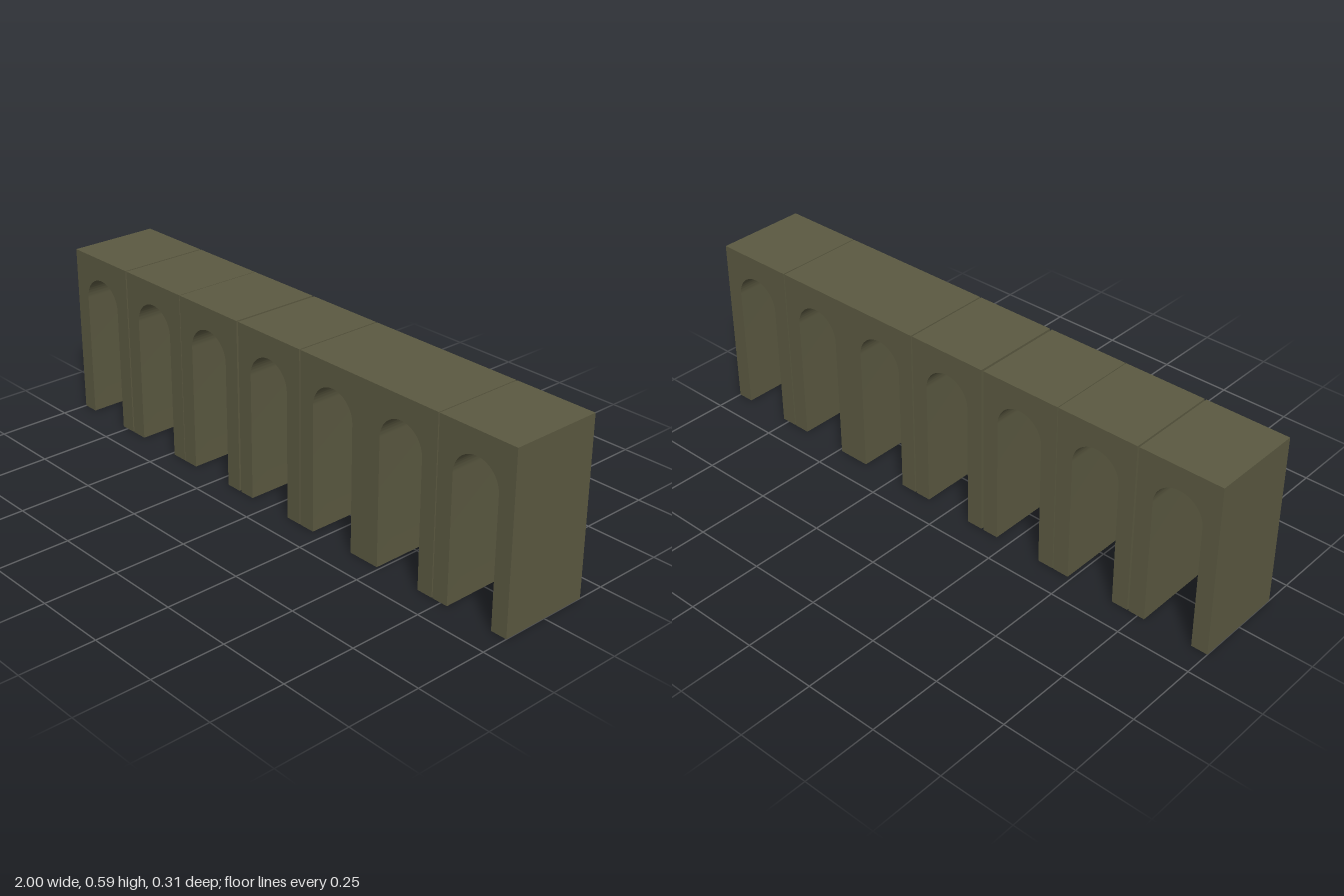
import * as THREE from 'three';
import { toCreasedNormals } from 'three/addons/utils/BufferGeometryUtils.js';

const HALF = 0.141;      // half width of one arch block
const HEIGHT = 0.591;
const DEPTH = 0.314;
const RADIUS = 0.0845;   // half width of the opening
const SPRING = 0.429;    // height where the round arch starts

// Block outline with an open, round-headed passage
function archGeometry() {
  const s = new THREE.Shape();
  s.moveTo(-HALF, 0);
  s.lineTo(-RADIUS, 0);
  s.lineTo(-RADIUS, SPRING);
  s.absarc(0, SPRING, RADIUS, Math.PI, 0, true);
  s.lineTo(RADIUS, 0);
  s.lineTo(HALF, 0);
  s.lineTo(HALF, HEIGHT);
  s.lineTo(-HALF, HEIGHT);
  s.closePath();
  const g = new THREE.ExtrudeGeometry(s, { depth: DEPTH, bevelEnabled: false, curveSegments: 24 });
  g.translate(0, 0, -DEPTH / 2);
  return toCreasedNormals(g, 0.5);
}

export function createModel() {
  const model = new THREE.Group();
  model.name = 'arcade';
  const stone = new THREE.MeshStandardMaterial({ color: 0x5b5941 });
  stone.name = 'olive stone';

  // Seven blocks in a row, with slightly uneven joints
  const geometry = archGeometry();
  const centres = [-0.859, -0.571, -0.286, 0.004, 0.291, 0.573, 0.859];
  centres.forEach((x, i) => {
    const arch = new THREE.Mesh(geometry, stone);
    arch.name = `archBlock${i + 1}`;
    arch.position.x = x;
    model.add(arch);
  });
  return model;
}
